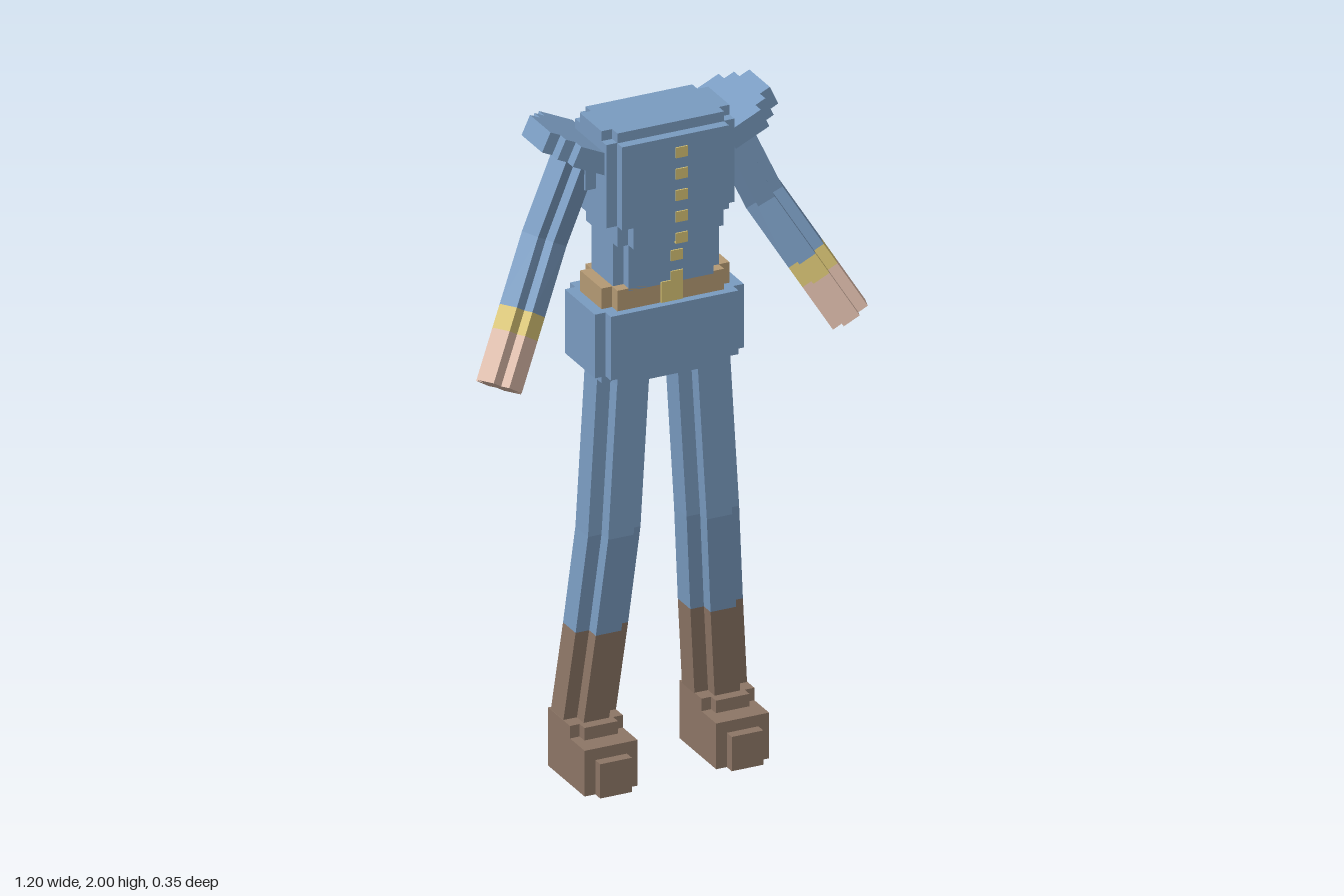
import * as THREE from 'three';

const mat = (name, color) => {
  const m = new THREE.MeshStandardMaterial({ color });
  m.name = name;
  return m;
};
const V3 = (x, y, z) => new THREE.Vector3(x, y, z);

// Rectangle with staircase corners: `count` steps of size `n`
function section(wu, wv, n = 0.033, count = 1) {
  const hu = wu / 2, hv = wv / 2, corner = [[hu, hv - count * n]];
  for (let i = 1; i <= count; i++) {
    corner.push([hu - i * n, hv - (count - i + 1) * n], [hu - i * n, hv - (count - i) * n]);
  }
  const out = [];
  [[1, 1], [-1, 1], [-1, -1], [1, -1]].forEach(([a, b], q) => {
    const pts = corner.map(([u, v]) => [u * a, v * b]);
    out.push(...(q % 2 ? pts.reverse() : pts));
  });
  return out;
}

// Places a section at a centre, perpendicular to dir, its first axis leaning toward ref
function ring(sec, centre, dir, ref = V3(0, 0, 1)) {
  const w = dir.clone().normalize();
  const u = ref.clone().addScaledVector(w, -ref.dot(w)).normalize();
  const v = w.clone().cross(u);
  const points = sec.map(([a, b]) => centre.clone().addScaledVector(u, a).addScaledVector(v, b));
  return { centre, points };
}

// Flat-faced solid through a list of rings, capped at both ends
function loft(rings) {
  const pos = [];
  const tri = (...p) => p.forEach((q) => pos.push(q.x, q.y, q.z));
  const n = rings[0].points.length, first = rings[0], last = rings[rings.length - 1];
  for (let i = 0; i < n; i++) {
    const j = (i + 1) % n;
    for (let k = 0; k + 1 < rings.length; k++) {
      const a = rings[k].points, b = rings[k + 1].points;
      tri(a[i], a[j], b[j]);
      tri(a[i], b[j], b[i]);
    }
    tri(first.centre, first.points[j], first.points[i]);
    tri(last.centre, last.points[i], last.points[j]);
  }
  const g = new THREE.BufferGeometry();
  g.setAttribute('position', new THREE.Float32BufferAttribute(pos, 3));
  g.computeVertexNormals();
  return g;
}

export function createModel() {
  const model = new THREE.Group();
  model.name = 'uniformedFigure';
  const blue = mat('uniform blue', 0x7a9cc1);
  const brown = mat('boot brown', 0x8d7666);
  const tan = mat('belt tan', 0xb59a74);
  const yellow = mat('brass yellow', 0xd8c475);
  const skin = mat('skin', 0xdcbbaa);

  const add = (name, geometry, material, parent = model) => {
    const mesh = new THREE.Mesh(geometry, material);
    mesh.name = name;
    parent.add(mesh);
    return mesh;
  };
  // Upright block with notched corners
  const slab = (name, material, [x0, x1], [y0, y1], [z0, z1], parent = model, n = 0.033) => {
    const sec = section(z1 - z0, x1 - x0, n), x = (x0 + x1) / 2, z = (z0 + z1) / 2;
    const up = V3(0, 1, 0);
    return add(name, loft([ring(sec, V3(x, y0, z), up), ring(sec, V3(x, y1, z), up)]), material, parent);
  };
  const box = (name, material, [x0, x1], [y0, y1], [z0, z1], parent = model) => {
    const g = new THREE.BoxGeometry(x1 - x0, y1 - y0, z1 - z0);
    g.translate((x0 + x1) / 2, (y0 + y1) / 2, (z0 + z1) / 2);
    return add(name, g, material, parent);
  };

  // Torso, from the collar down to the hips
  const wide = [-0.207, 0.19], narrow = [-0.172, 0.157];
  const deep = [-0.128, 0.135], shallow = [-0.095, 0.105];
  slab('collar', blue, wide, [1.965, 2], shallow);
  slab('chest', blue, wide, [1.715, 1.97], deep);
  slab('lowerChest', blue, narrow, [1.65, 1.72], deep);
  slab('waist', blue, narrow, [1.51, 1.655], shallow);
  slab('shoulderJoint', blue, [-0.24, 0.22], [1.81, 1.91], [-0.08, 0.07]);
  slab('belt', tan, wide, [1.45, 1.518], shallow);
  slab('tunicSkirt', blue, [-0.24, 0.222], [1.26, 1.455], [-0.125, 0.13]);
  slab('hips', blue, wide, [1.228, 1.265], shallow);

  // Row of buttons and the buckle
  for (let i = 0; i < 6; i++) {
    const y = 1.92 - i * 0.0655, z = i < 5 ? 0.135 : 0.105;
    box('button', yellow, [-0.009, 0.028], [y - 0.016, y + 0.016], [z - 0.004, z + 0.004]);
  }
  box('lowestButton', yellow, [-0.009, 0.028], [1.518, 1.545], [0.101, 0.109]);
  box('buckle', yellow, [-0.04, 0.028], [1.455, 1.518], [0.101, 0.109]);

  for (const s of [-1, 1]) {
    const side = s > 0 ? 'left' : 'right';

    // Leg with a slight knee bend, trouser above and boot shaft below
    const leg = new THREE.Group();
    leg.name = side + 'Leg';
    model.add(leg);
    const legSec = section(0.163, 0.163, 0.042);
    const legRing = (x, y, z) => ring(legSec, V3(s * x, y, z), V3(0, -1, 0));
    const boot = legRing(0.178, 0.45, -0.024);
    const knee = legRing(0.153, 0.75, 0.003);
    add('trouserLeg', loft([legRing(0.124, 1.24, 0.003), knee, boot]), blue, leg);
    add('bootShaft', loft([boot, legRing(0.204, 0.17, -0.05)]), brown, leg);

    // Stepped foot
    const across = (inset) => [s * 0.204 - 0.082 + inset, s * 0.204 + 0.082 - inset];
    slab('heel', brown, across(0), [0, 0.178], [-0.134, 0.064], leg, 0.03);
    box('instep', brown, across(0), [0, 0.14], [-0.03, 0.126], leg);
    box('toe', brown, across(0.033), [0, 0.105], [0.12, 0.157], leg);

    // Tilted shoulder pad
    const tilt = THREE.MathUtils.degToRad(25);
    const padDir = V3(-s * Math.sin(tilt), Math.cos(tilt), 0);
    const padMid = V3(s * 0.24, 1.922, -0.043);
    const padSec = section(0.265, 0.25, 0.034, 2);
    const padRing = (t) => ring(padSec, padMid.clone().addScaledVector(padDir, t), padDir);
    add(side + 'ShoulderPad', loft([padRing(-0.031), padRing(0.031)]), blue);

    // Arm bent forward at the elbow
    const arm = new THREE.Group();
    arm.name = side + 'Arm';
    model.add(arm);
    const shoulder = V3(s * 0.222, 1.915, -0.038);
    const elbow = V3(s * 0.338, 1.66, -0.022);
    const tip = V3(s * 0.543, 1.3, 0.108);
    const upper = elbow.clone().sub(shoulder).normalize();
    const lower = tip.clone().sub(elbow).normalize();
    const armSec = section(0.13, 0.118, 0.032);
    const armRing = (p, dir) => ring(armSec, p, dir, V3(-s * 0.25, 0, 1));
    const along = (t) => armRing(elbow.clone().lerp(tip, t), lower);
    const bend = armRing(elbow, upper.clone().add(lower));
    add('sleeve', loft([armRing(shoulder, upper), bend, along(0.49)]), blue, arm);
    add('cuff', loft([along(0.49), along(0.65)]), yellow, arm);
    add('hand', loft([along(0.65), along(1)]), skin, arm);
  }
  return model;
}
